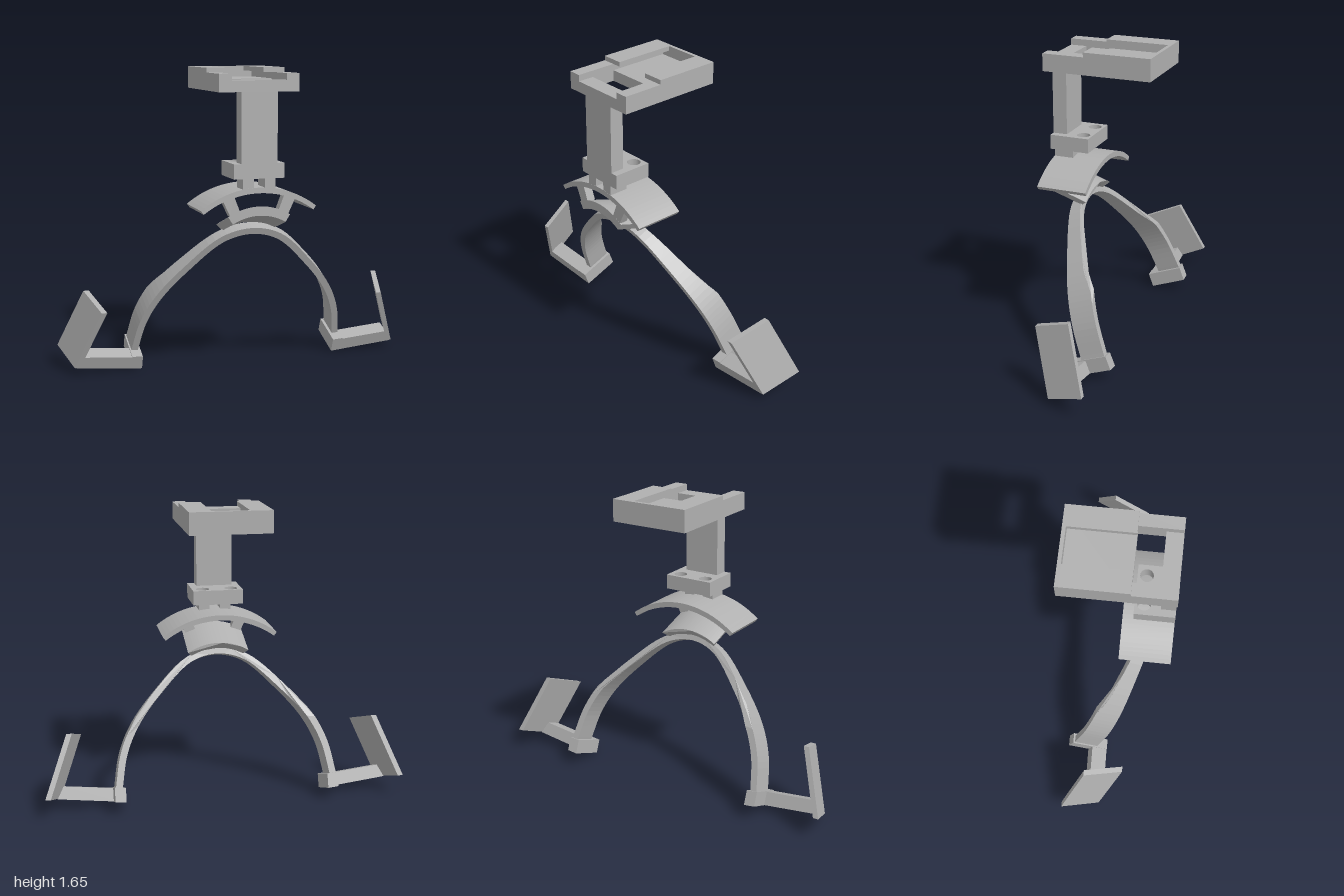
import * as THREE from 'three';

export function createModel() {
  const model = new THREE.Group();
  const grey = new THREE.MeshStandardMaterial({ color: 0xb0b0b0 });
  grey.name = 'plain grey';

  const add = (name, geometry, parent = model) => {
    const mesh = new THREE.Mesh(geometry, grey);
    mesh.name = name;
    parent.add(mesh);
    return mesh;
  };
  // Box given by its limits on each axis
  const box = (name, x0, x1, y0, y1, z0, z1, parent = model) => {
    const g = new THREE.BoxGeometry(Math.abs(x1 - x0), y1 - y0, z1 - z0);
    g.translate((x0 + x1) / 2, (y0 + y1) / 2, (z0 + z1) / 2);
    return add(name, g, parent);
  };
  // Prism of an outline; warp(p, t) places each point, t = 0 back, 1 front
  const prism = (name, points, warp, parent = model) => {
    const shape = new THREE.Shape(points.map(([x, y]) => new THREE.Vector2(x, y)));
    const g = new THREE.ExtrudeGeometry(shape, { depth: 1, bevelEnabled: false });
    const pos = g.attributes.position, p = new THREE.Vector3();
    for (let i = 0; i < pos.count; i++) {
      p.fromBufferAttribute(pos, i);
      warp(p, p.z);
      pos.setXYZ(i, p.x, p.y, p.z);
    }
    g.computeVertexNormals();
    return add(name, g, parent);
  };
  const between = (z0, z1) => (p, t) => { p.z = z0 + (z1 - z0) * t; };
  // Circular arc band, symmetric about x = 0
  const arcBand = (halfOut, topOut, sagOut, halfIn, topIn, sagIn, n = 28) => {
    const arc = (half, top, sag) => {
      const r = (half * half + sag * sag) / (2 * sag), a = Math.asin(half / r), pts = [];
      for (let i = 0; i <= n; i++) {
        const q = -a + (2 * a * i) / n;
        pts.push([r * Math.sin(q), top - r + r * Math.cos(q)]);
      }
      return pts;
    };
    return [...arc(halfOut, topOut, sagOut), ...arc(halfIn, topIn, sagIn).reverse()];
  };

  // Tray on top: floor, back wall, grooved rails and open front frame
  const tray = new THREE.Group();
  tray.name = 'tray';
  model.add(tray);
  box('trayFloor', -0.22, 0.22, 1.53, 1.59, -0.3, 0.07, tray);
  box('trayBackWall', -0.22, 0.22, 1.59, 1.65, -0.3, -0.28, tray);
  box('trayFrontBar', -0.15, 0.15, 1.53, 1.59, 0.21, 0.3, tray);
  for (const s of [-1, 1]) {
    box('trayFrontSide', s * 0.15, s * 0.22, 1.53, 1.625, 0.07, 0.3, tray);
    box('traySideWall', s * 0.15, s * 0.22, 1.59, 1.625, -0.28, 0.07, tray);
    box('trayLip', s * 0.1, s * 0.22, 1.625, 1.65, -0.28, 0.07, tray);
  }

  // Column and drilled block below it
  box('column', -0.1, 0.1, 1.155, 1.53, 0.22, 0.3);
  const plate = new THREE.Shape([[-0.14, -0.3], [0.14, -0.3], [0.14, -0.08], [-0.14, -0.08]]
    .map(([x, y]) => new THREE.Vector2(x, y)));
  for (const s of [-1, 1]) {
    plate.holes.push(new THREE.Path().absarc(s * 0.08, -0.13, 0.036, 0, Math.PI * 2, true));
  }
  const blockGeometry = new THREE.ExtrudeGeometry(plate, { depth: 0.08, bevelEnabled: false, curveSegments: 20 });
  blockGeometry.rotateX(-Math.PI / 2).translate(0, 1.077, 0);
  add('drilledBlock', blockGeometry);
  for (const s of [-1, 1]) box('neckLeg', s * 0.03, s * 0.09, 1.01, 1.08, 0.19, 0.299);

  // Curved plate with the two struts that carry it
  prism('curvedPlate', arcBand(0.32, 1.03, 0.11, 0.305, 1.0, 0.1), between(0.02, 0.3));
  for (const s of [-1, 1]) {
    prism('strut', [[s * 0.205, 0.975], [s * 0.14, 0.99], [s * 0.105, 0.9], [s * 0.16, 0.88]],
      between(0.25, 0.299));
  }

  // Arched saddle, sloping down to the back
  prism('saddle', arcBand(0.172, 0.93, 0.05, 0.147, 0.88, 0.04), (p, t) => {
    const upper = Math.hypot(p.x, p.y - 0.59) > 0.315 ? 1 : 0;
    p.z = t > 0.5 ? 0.3 : (upper ? 0.08 : 0.115);
    p.y -= 0.33 * (0.3 - p.z);
  });

  // Leaning frame: arch, feet and side pads
  const frame = new THREE.Group();
  frame.name = 'leaningFrame';
  frame.position.z = -0.05;
  frame.rotation.x = THREE.MathUtils.degToRad(21.1);
  model.add(frame);

  const half = [[0, 0.83], [0.17, 0.785], [0.36, 0.61], [0.505, 0.43], [0.58, 0.27], [0.62, 0.07]];
  const spine = [...half.slice(1).reverse().map(([x, y]) => [-x, y]), ...half];
  const curve = new THREE.CatmullRomCurve3(spine.map(([x, y]) => new THREE.Vector3(x, y, 0)));
  const outer = [], inner = [];
  for (let i = 0; i <= 60; i++) {
    const p = curve.getPoint(i / 60), d = curve.getTangent(i / 60);
    outer.push([p.x, p.y]);
    inner.push([p.x + d.y * 0.037, p.y - d.x * 0.037]);
  }
  // Back edge of the arch widens towards the feet
  const backEdge = (y) => y > 0.515
    ? THREE.MathUtils.mapLinear(Math.min(y, 0.79), 0.79, 0.515, -0.127, -0.166)
    : THREE.MathUtils.mapLinear(Math.max(y, 0.41), 0.515, 0.41, -0.166, -0.203);
  prism('arch', [...outer, ...inner.reverse()],
    (p, t) => { p.z = t > 0.5 ? -0.063 : backEdge(p.y); }, frame);

  for (const s of [-1, 1]) {
    const side = (pts) => pts.map(([x, y]) => [s * x, y]);
    prism('footBlock', side([[0.565, 0], [0.625, 0.006], [0.625, 0.085], [0.565, 0.08]]),
      between(-0.213, 0), frame);
    prism('footBar', side([[0.6, 0.004], [0.93, 0.04], [0.895, 0.108], [0.6, 0.078]]),
      between(-0.09, 0), frame);
    prism('sidePad', side([[0.94, 0.042], [0.81, 0.39], [0.78, 0.39], [0.91, 0.042]]), (p, t) => {
      p.x += s * 0.06 * (1 - t);
      p.z = -0.226 * (1 - t);
    }, frame);
  }
  return model;
}
